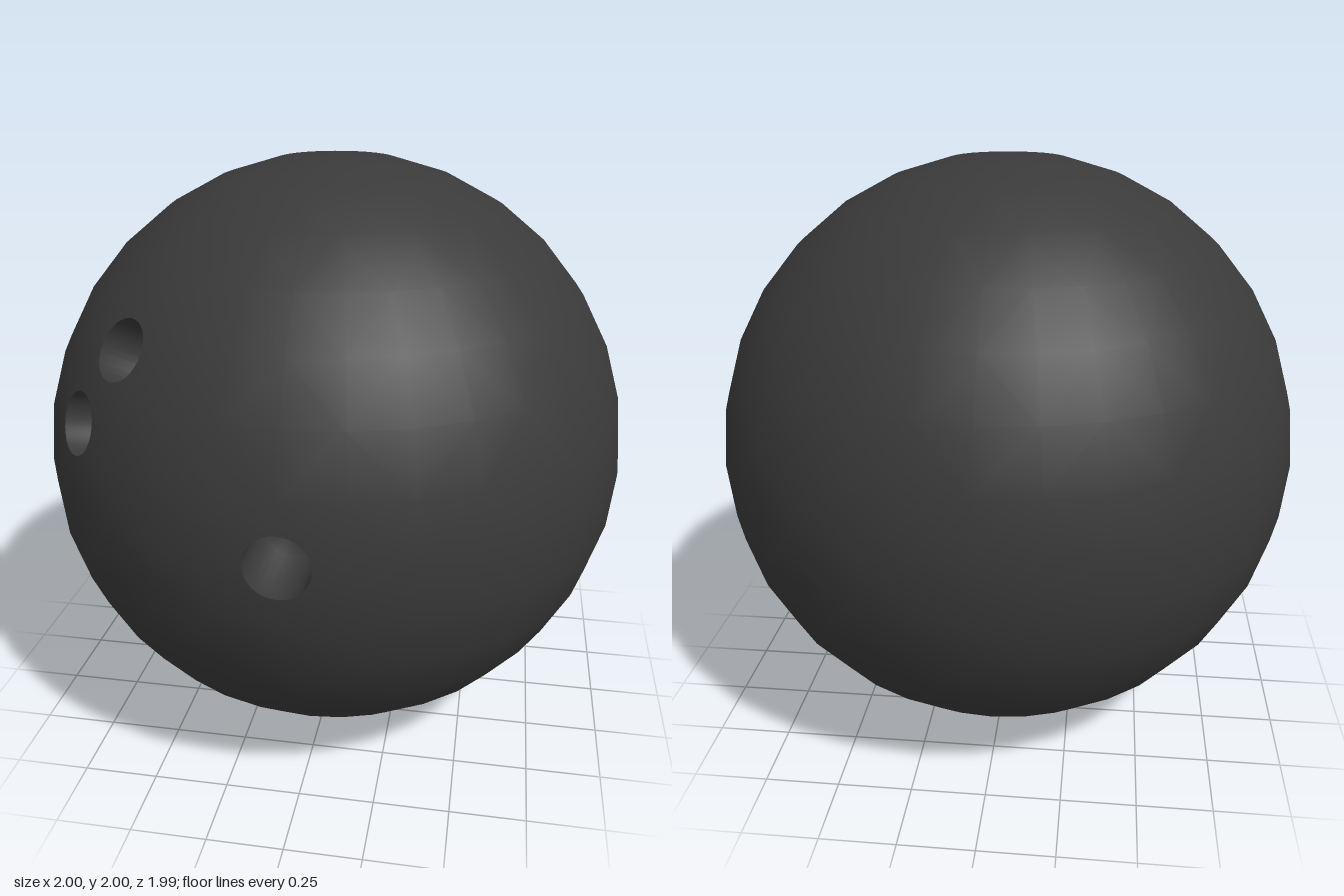
import * as THREE from 'three';
import { ConvexGeometry } from 'three/addons/geometries/ConvexGeometry.js';

const HOLE_R = 0.1, HOLE_DEPTH = 0.25, HOLE_SIDES = 32;
const RIM_H = Math.sqrt(1 - HOLE_R * HOLE_R);
const UP = new THREE.Vector3(0, 1, 0);

// Hole axes, as directions from the ball's centre
const holes = [
  { name: 'thumbHole', dir: new THREE.Vector3(0, 0, 1) },
  { name: 'upperFingerHole', dir: new THREE.Vector3(-0.53, 0.505, 0.68) },
  { name: 'lowerFingerHole', dir: new THREE.Vector3(-0.69, 0.26, 0.675) },
];
for (const h of holes) {
  h.dir.normalize();
  h.turn = new THREE.Quaternion().setFromUnitVectors(UP, h.dir);
}

// Shell: hull of a 32 x 16 sphere grid plus the hole rims, with the caps inside the rims left out
function shellGeometry() {
  const points = [new THREE.Vector3(0, 1, 0), new THREE.Vector3(0, -1, 0)];
  for (let row = 1; row < 16; row++) {
    for (let col = 0; col < 32; col++) {
      const p = new THREE.Vector3().setFromSphericalCoords(1, row * Math.PI / 16, col * Math.PI / 16);
      if (holes.every(h => p.angleTo(h.dir) > HOLE_R * 1.2)) points.push(p);
    }
  }
  for (const h of holes) {
    for (let i = 0; i < HOLE_SIDES; i++) {
      const a = i / HOLE_SIDES * Math.PI * 2;
      points.push(new THREE.Vector3(HOLE_R * Math.sin(a), RIM_H, HOLE_R * Math.cos(a)).applyQuaternion(h.turn));
    }
  }
  const hull = new ConvexGeometry(points).getAttribute('position');
  const kept = [];
  for (let i = 0; i < hull.count; i += 3) {
    const tri = [0, 1, 2].map(k => new THREE.Vector3().fromBufferAttribute(hull, i + k));
    const isCap = holes.some(h => tri.every(p => p.dot(h.dir) > RIM_H - 1e-4));
    if (!isCap) tri.forEach(p => kept.push(p.x, p.y, p.z));
  }
  const geo = new THREE.BufferGeometry();
  geo.setAttribute('position', new THREE.Float32BufferAttribute(kept, 3));
  geo.setAttribute('normal', new THREE.Float32BufferAttribute(kept, 3)); // unit sphere: normal = position
  return geo;
}

export function createModel() {
  const model = new THREE.Group();
  model.name = 'bowlingBall';
  const material = new THREE.MeshStandardMaterial({ color: 0x3a3a3a });
  const boreMaterial = new THREE.MeshStandardMaterial({ color: 0x3a3a3a, side: THREE.DoubleSide });

  const shell = new THREE.Mesh(shellGeometry(), material);
  shell.name = 'ballShell';
  shell.position.y = 1;
  model.add(shell);

  // Bores: straight wall and floor, facing inwards
  const bore = new THREE.LatheGeometry([
    new THREE.Vector2(HOLE_R, RIM_H),
    new THREE.Vector2(HOLE_R, RIM_H - HOLE_DEPTH),
    new THREE.Vector2(0, RIM_H - HOLE_DEPTH),
  ], HOLE_SIDES);
  for (const h of holes) {
    const mesh = new THREE.Mesh(bore, boreMaterial);
    mesh.name = h.name;
    mesh.quaternion.copy(h.turn);
    mesh.position.y = 1;
    model.add(mesh);
  }
  return model;
}
